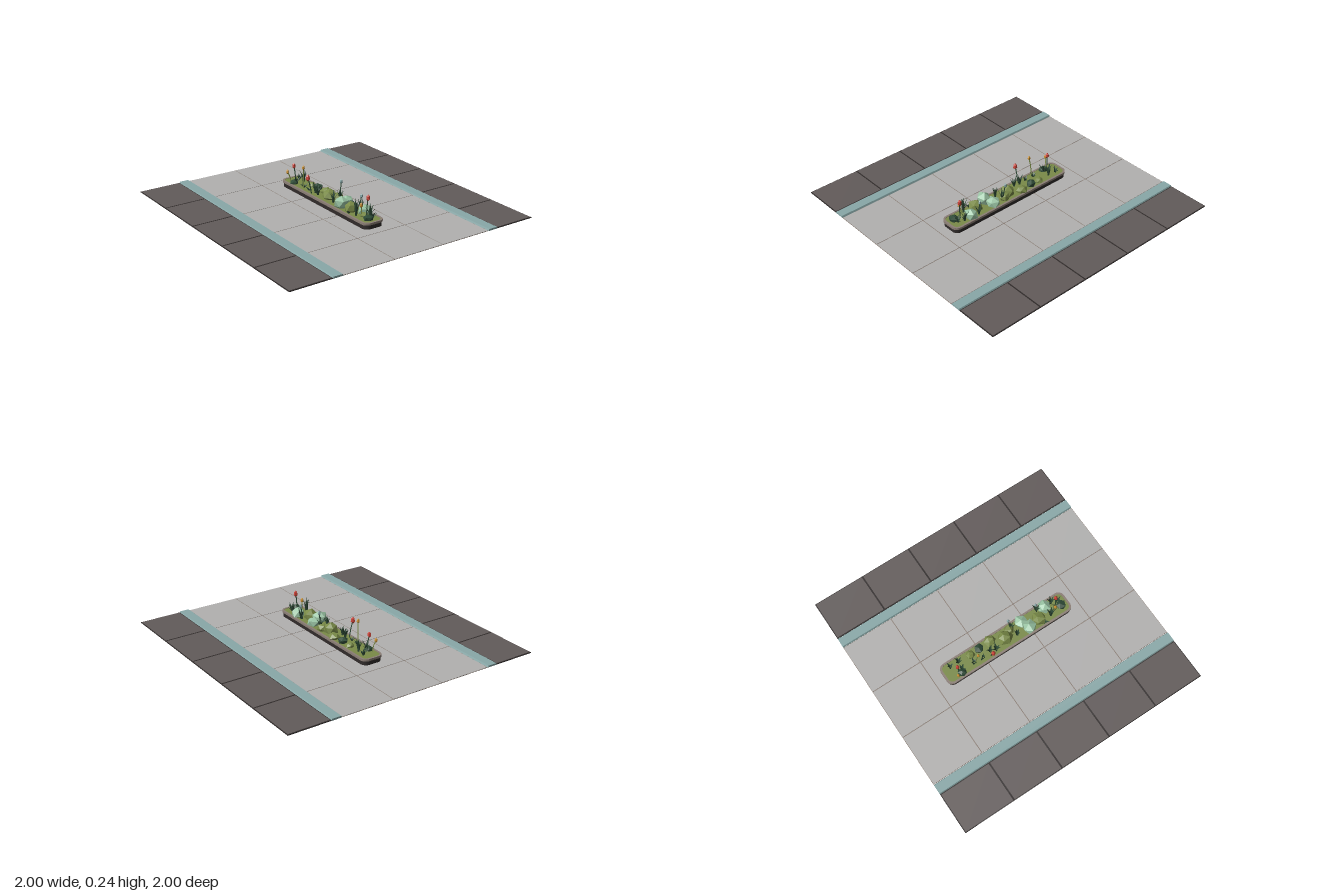
import * as THREE from 'three';

const mat = (name, color, extra = {}) => {
  const m = new THREE.MeshStandardMaterial({ color, flatShading: true, ...extra });
  m.name = name;
  return m;
};

export function createModel() {
  const model = new THREE.Group();
  model.name = 'plazaPlanter';
  const M = {
    tile: mat('paleStone', 0xb2b1b0),
    dark: mat('darkStone', 0x625b5a),
    black: mat('blackStone', 0x302b2a),
    teal: mat('tealStone', 0x89a8a8),
    taupe: mat('taupeStone', 0x8b7e75),
    olive: mat('oliveGreen', 0x7a8b48),
    pale: mat('paleGreen', 0x9ac4a4),
    leaf: mat('darkLeaf', 0x2e4a36, { side: THREE.DoubleSide }),
    red: mat('redPetal', 0xcc4439),
    orange: mat('orangePetal', 0xcb9234),
  };
  const group = (name, parent = model) => {
    const g = new THREE.Group();
    g.name = name;
    parent.add(g);
    return g;
  };
  const add = (parent, name, geo, material, x = 0, y = 0, z = 0) => {
    const mesh = new THREE.Mesh(geo, material);
    mesh.name = name;
    mesh.position.set(x, y, z);
    parent.add(mesh);
    return mesh;
  };
  const slab = (parent, name, w, d, y0, y1, material, x, z) =>
    add(parent, name, new THREE.BoxGeometry(w, y1 - y0, d), material, x, (y0 + y1) / 2, z);
  let seed = 48271;
  const rnd = () => (seed = (seed * 16807) % 2147483647) / 2147483647;

  // Paving: joint sheet with separate slabs through it
  const paving = group('paving');
  slab(paving, 'jointBed', 2, 1.2, 0.0085, 0.0105, M.taupe, 0, 0);
  for (let i = -2; i <= 2; i++) {
    for (let j = -1; j <= 1; j++)
      slab(paving, 'pavingTile', 0.394, 0.394, 0.0075, 0.012, M.tile, i * 0.4, j * 0.4);
    for (const s of [-1, 1])
      slab(paving, 'borderTile', 0.388, 0.306, 0.0075, 0.016, M.dark, i * 0.4, s * 0.842);
  }

  // Border joints and raised teal kerbs with sloping sides
  const kerbProfile = new THREE.Shape([
    [-0.04, 0.0075], [0.04, 0.0075], [0.034, 0.021], [-0.034, 0.021],
  ].map(p => new THREE.Vector2(...p)));
  for (const s of [-1, 1]) {
    slab(paving, 'borderBed', 2, 0.318, 0.0085, 0.0135, M.black, 0, s * 0.841);
    const kerb = new THREE.ExtrudeGeometry(kerbProfile, { depth: 2, bevelEnabled: false });
    kerb.translate(0, 0, -1).rotateY(Math.PI / 2);
    add(paving, 'tealKerb', kerb, M.teal, 0, 0, s * 0.642);
  }

  // Planter: dark body, pale lip, overhanging rim, green bed
  const roundRect = (w, d, r, Type = THREE.Shape) => {
    const s = new Type();
    const a = w / 2 - r, b = d / 2 - r;
    s.absarc(a, b, r, 0, Math.PI / 2);
    s.absarc(-a, b, r, Math.PI / 2, Math.PI);
    s.absarc(-a, -b, r, Math.PI, Math.PI * 1.5);
    s.absarc(a, -b, r, Math.PI * 1.5, Math.PI * 2);
    return s;
  };
  const rise = (shape, h) =>
    new THREE.ExtrudeGeometry(shape, { depth: h, bevelEnabled: false, curveSegments: 4 }).rotateX(-Math.PI / 2);
  const planter = group('planter');
  planter.position.x = 0.004;
  add(planter, 'planterBody', rise(roundRect(1.046, 0.158, 0.043), 0.032), M.black, 0, 0.012, 0);
  const rim = roundRect(1.06, 0.17, 0.048);
  rim.holes.push(roundRect(1.03, 0.14, 0.033, THREE.Path));
  add(planter, 'planterRim', rise(rim, 0.016), M.taupe, 0, 0.044, 0);
  add(planter, 'plantBed', rise(roundRect(1.032, 0.142, 0.034), 0.014), M.olive, 0, 0.044, 0);

  // Irregular faceted shrubs: x, z, radius, height of top, material
  const shrubs = group('shrubs');
  const v = new THREE.Vector3();
  [
    [-0.40, 0.045, 0.034, 0.085, M.leaf], [-0.285, -0.03, 0.034, 0.09, M.olive],
    [-0.205, -0.035, 0.036, 0.095, M.leaf], [-0.105, -0.04, 0.044, 0.10, M.olive],
    [-0.008, 0.0, 0.056, 0.13, M.olive], [0.045, -0.035, 0.042, 0.10, M.olive],
    [0.155, -0.035, 0.052, 0.115, M.pale], [0.183, 0.035, 0.053, 0.13, M.pale],
    [0.275, 0.015, 0.054, 0.122, M.olive], [0.36, -0.038, 0.05, 0.12, M.pale],
    [0.40, 0.0, 0.034, 0.08, M.olive], [0.472, 0.015, 0.038, 0.088, M.leaf],
  ].forEach(([x, z, r, top, material]) => {
    const geo = new THREE.IcosahedronGeometry(1, 0);
    const p = geo.attributes.position, phase = rnd() * 6;
    for (let i = 0; i < p.count; i++) {
      v.fromBufferAttribute(p, i);
      v.multiplyScalar(1.05 + 0.17 * Math.sin(7 * v.x + 5 * v.y + 9 * v.z + phase));
      p.setXYZ(i, v.x, v.y, v.z);
    }
    geo.rotateX(0.4 + rnd()).rotateY(rnd() * 6);
    const half = (top - 0.045) / 2;
    geo.scale(r, half * 1.1, r * 0.95);
    add(shrubs, 'shrub', geo, material, x, top - half, z);
  });

  // Blade leaf: folded cross-sections that widen, then taper and bend outwards
  const blade = (h, w, bend) => {
    const pos = [], idx = [];
    [[0, 0.6], [0.45, 1], [1, 0.03]].forEach(([t, k], i) => {
      const half = w * k, out = bend * t * t, y = h * t;
      pos.push(out, y, -half, out + half * 0.4, y, 0, out, y, half);
      if (i < 2) for (let c = 0; c < 2; c++) {
        const a = i * 3 + c;
        idx.push(a, a + 3, a + 1, a + 1, a + 3, a + 4);
      }
    });
    const geo = new THREE.BufferGeometry();
    geo.setAttribute('position', new THREE.Float32BufferAttribute(pos, 3));
    geo.setIndex(idx);
    geo.computeVertexNormals();
    return geo;
  };

  // Leaf clumps: x, z, height, number of blades
  const clumps = group('leafClumps');
  [
    [-0.45, -0.035, 0.05, 5], [-0.385, -0.03, 0.11, 6], [-0.39, 0.03, 0.075, 5],
    [-0.29, 0.03, 0.04, 5], [-0.215, 0.035, 0.04, 4], [-0.15, 0.025, 0.09, 5],
    [-0.105, 0.035, 0.075, 6], [0.07, -0.035, 0.11, 5], [0.08, 0.03, 0.10, 6],
    [0.30, -0.05, 0.08, 4], [0.30, 0.055, 0.035, 4], [0.365, 0.04, 0.13, 7],
    [0.42, -0.04, 0.09, 5], [0.465, -0.025, 0.055, 5],
  ].forEach(([x, z, h, n]) => {
    const clump = group('leafClump', clumps);
    clump.position.set(x, 0.053, z);
    for (let i = 0; i < n; i++) {
      const k = 0.65 + 0.4 * rnd();
      const leaf = add(clump, 'blade', blade(h * k, 0.01, 0.014 + 0.022 * rnd()), M.leaf);
      leaf.rotation.y = (i + 0.6 * rnd()) / n * Math.PI * 2;
    }
  });

  // Flowers: base x, base z, tip x, tip z, top, bud radius, petal, stem foot, stem
  const flowers = group('flowers');
  [
    [-0.415, 0.02, -0.425, 0.03, 0.207, 0.014, M.red, 0.05, M.leaf],
    [-0.435, 0.05, -0.447, 0.072, 0.158, 0.011, M.orange, 0.05, M.olive],
    [-0.28, 0.04, -0.265, 0.052, 0.24, 0.011, M.orange, 0.05, M.olive],
    [-0.16, 0.05, -0.16, 0.084, 0.207, 0.016, M.red, 0, M.leaf],
    [0.065, -0.04, 0.057, -0.055, 0.21, 0.011, M.teal, 0.05, M.leaf],
    [0.295, -0.04, 0.295, -0.056, 0.177, 0.011, M.teal, 0, M.leaf],
    [0.40, 0.02, 0.408, 0.03, 0.166, 0.012, M.orange, 0.05, M.olive],
    [0.43, 0.0, 0.435, -0.008, 0.224, 0.015, M.red, 0.05, M.leaf],
  ].forEach(([x, z, tx, tz, top, r, petal, foot, stem]) => {
    const flower = group('flower', flowers);
    const budY = top - r * 1.7;
    const path = new THREE.QuadraticBezierCurve3(
      new THREE.Vector3(x, foot, z),
      new THREE.Vector3(x, (foot + budY) / 2, z),
      new THREE.Vector3(tx, budY, tz));
    add(flower, 'stem', new THREE.TubeGeometry(path, 3, 0.0045, 4), stem);
    const profile = [[0, -1.6], [1, -0.5], [0.8, 0.9], [0, 1.7]]
      .map(([a, b]) => new THREE.Vector2(a * r, b * r));
    add(flower, 'bud', new THREE.LatheGeometry(profile, 5), petal, tx, budY, tz);
  });

  return model;
}
